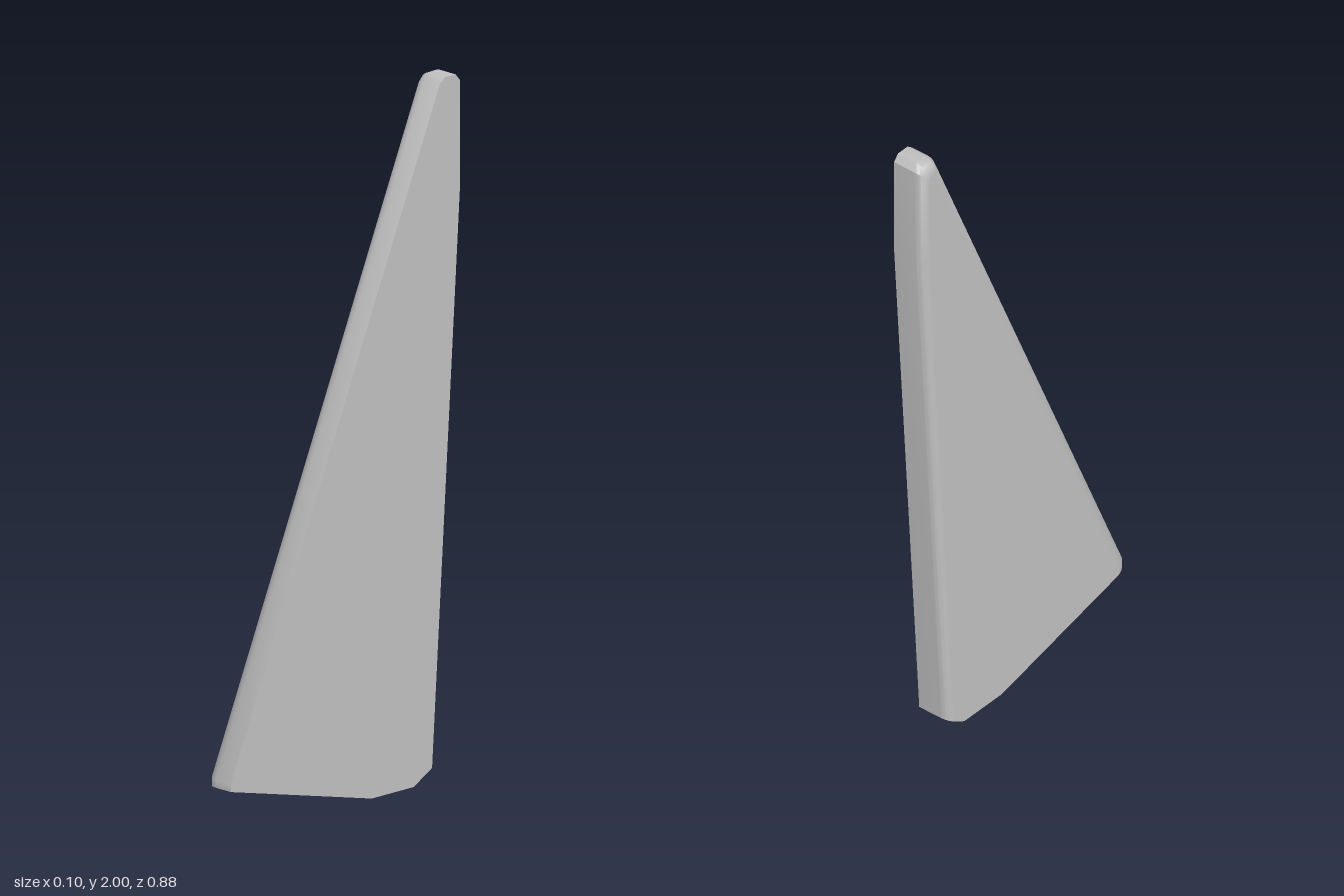
import * as THREE from 'three';
import { mergeGeometries, toCreasedNormals } from 'three/addons/utils/BufferGeometryUtils.js';

// Each row: outer z, y | inner z, y (after rounding) | depth of the rounding along x
const PROFILE = [
  [0.44, 0.13, 0.39, 0.118, 0.045],
  [0.44, 0.15, 0.39, 0.16, 0.045],
  [-0.36, 1.985, -0.385, 1.945, 0.045],
  [-0.38, 2.0, -0.39, 1.96, 0.045],
  [-0.42, 2.0, -0.405, 1.96, 0.04],
  [-0.437, 1.98, -0.41, 1.95, 0.03],
  [-0.437, 1.68, -0.41, 1.68, 0.025],
  [-0.33, 0.04, -0.305, 0.0257, 0.025],
  [-0.26, 0.0, -0.26, 0.0, 0.03],
  [-0.1, 0.0, -0.1, 0.0, 0.03],
];
const X_FLAT = 0.05;
const X_ROUND = -0.052;
const STEPS = 7;

function fromTriangles(positions) {
  const g = new THREE.BufferGeometry();
  g.setAttribute('position', new THREE.Float32BufferAttribute(positions, 3));
  g.computeVertexNormals();
  return g;
}

function finGeometry() {
  const n = PROFILE.length;
  // Rings from the flat face, round the edge, to the opposite face
  const rings = [PROFILE.map(([z, y]) => [X_FLAT, y, z])];
  for (let s = 0; s <= STEPS; s++) {
    const t = (s / STEPS) * Math.PI / 2;
    const f = 1 - Math.cos(t);
    rings.push(PROFILE.map(([z, y, zi, yi, d]) => [
      X_ROUND + d * (1 - Math.sin(t)), y + (yi - y) * f, z + (zi - z) * f,
    ]));
  }

  // Rim
  const rim = [];
  for (let r = 0; r < rings.length - 1; r++) {
    for (let i = 0; i < n; i++) {
      const j = (i + 1) % n;
      const a = rings[r][i], b = rings[r][j], c = rings[r + 1][j], d = rings[r + 1][i];
      rim.push(...a, ...b, ...c, ...a, ...c, ...d);
    }
  }

  // Flat faces on both sides
  const caps = [];
  const first = rings[0], last = rings[rings.length - 1];
  for (let i = 1; i < n - 1; i++) {
    caps.push(...first[0], ...first[i + 1], ...first[i]);
    caps.push(...last[0], ...last[i], ...last[i + 1]);
  }
  return mergeGeometries([toCreasedNormals(fromTriangles(rim), 0.7), fromTriangles(caps)]);
}

export function createModel() {
  const group = new THREE.Group();
  group.name = 'finPanel';
  const grey = new THREE.MeshStandardMaterial({ color: 0xc0c0c0 });
  grey.name = 'light grey';
  const fin = new THREE.Mesh(finGeometry(), grey);
  fin.name = 'fin';
  group.add(fin);
  return group;
}
